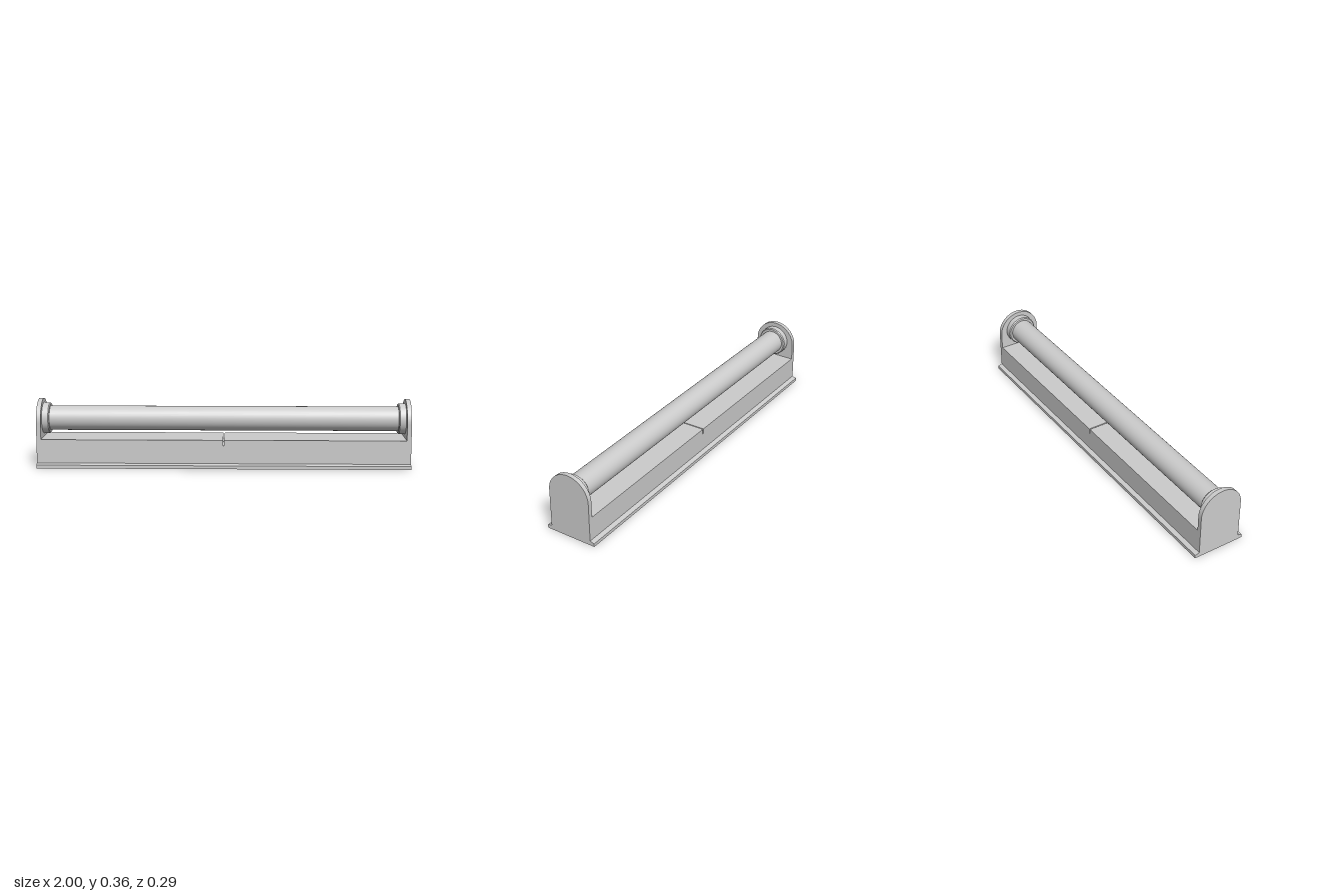
import * as THREE from 'three';

const HALF = 1;        // half length of the whole unit
const PLATE = 0.024;   // end plate thickness
const DEPTH = 0.119;   // half depth of the body
const SKIRT = 0.025;   // height of the foot skirt
const AXIS = 0.252;    // height of the tube axis

export function createModel() {
  const group = new THREE.Group();
  group.name = 'tubeLightFixture';
  const material = new THREE.MeshStandardMaterial({ color: 0xcccccc });

  const add = (name, geometry) => {
    const mesh = new THREE.Mesh(geometry, material);
    mesh.name = name;
    group.add(mesh);
    return mesh;
  };
  const polygon = (points) => new THREE.Shape(points.map(([x, y]) => new THREE.Vector2(x, y)));
  const extrude = (shape, depth) =>
    new THREE.ExtrudeGeometry(shape, { depth, bevelEnabled: false, curveSegments: 32 })
      .translate(0, 0, -depth / 2);

  // Foot skirt with a sloped upper lip, running the full length
  const skirt = polygon([
    [-0.143, 0], [0.143, 0], [0.143, 0.018], [DEPTH, SKIRT], [-DEPTH, SKIRT], [-0.143, 0.018],
  ]);
  add('footSkirt', extrude(skirt, 2 * HALF).rotateY(Math.PI / 2));

  // Main body with a thin groove across the middle of the top
  const end = HALF - PLATE, top = 0.152, slot = 0.003, slotFloor = 0.122;
  const body = polygon([
    [-end, SKIRT], [end, SKIRT], [end, top], [slot, top],
    [slot, slotFloor], [-slot, slotFloor], [-slot, top], [-end, top],
  ]);
  add('body', extrude(body, 2 * DEPTH));

  // Arched end plate
  const arch = new THREE.Shape();
  arch.moveTo(-DEPTH, SKIRT);
  arch.lineTo(DEPTH, SKIRT);
  arch.lineTo(DEPTH, 0.239);
  arch.absarc(0, 0.239, DEPTH, 0, Math.PI, false);
  arch.closePath();

  // Stepped socket collar with a small chamfer, turned about the tube axis
  const collar = [[0, 0], [0.083, 0], [0.083, 0.033], [0.078, 0.038], [0, 0.038]];
  const collarGeometry = () => {
    // Separate rings per profile segment keep the edges sharp
    const flat = [];
    collar.slice(1).forEach((p, i) => flat.push([collar[i], p]));
    return flat.map((pair) => new THREE.LatheGeometry(pair.map(([r, y]) => new THREE.Vector2(r, y)), 48));
  };

  for (const side of [-1, 1]) {
    const label = side > 0 ? 'left' : 'right';
    add(label + 'EndPlate', extrude(arch, PLATE).rotateY(Math.PI / 2))
      .position.x = side * (HALF - PLATE / 2);

    const socket = new THREE.Group();
    socket.name = label + 'Socket';
    for (const geometry of collarGeometry()) {
      const ring = new THREE.Mesh(geometry, material);
      ring.name = label + 'SocketRing';
      socket.add(ring);
    }
    socket.rotation.z = side * Math.PI / 2;
    socket.position.set(side * end, AXIS, 0);
    group.add(socket);
  }

  // Long round tube between the sockets
  add('tube', new THREE.CylinderGeometry(0.066, 0.066, 1.9, 48).rotateZ(Math.PI / 2))
    .position.y = AXIS;

  return group;
}
